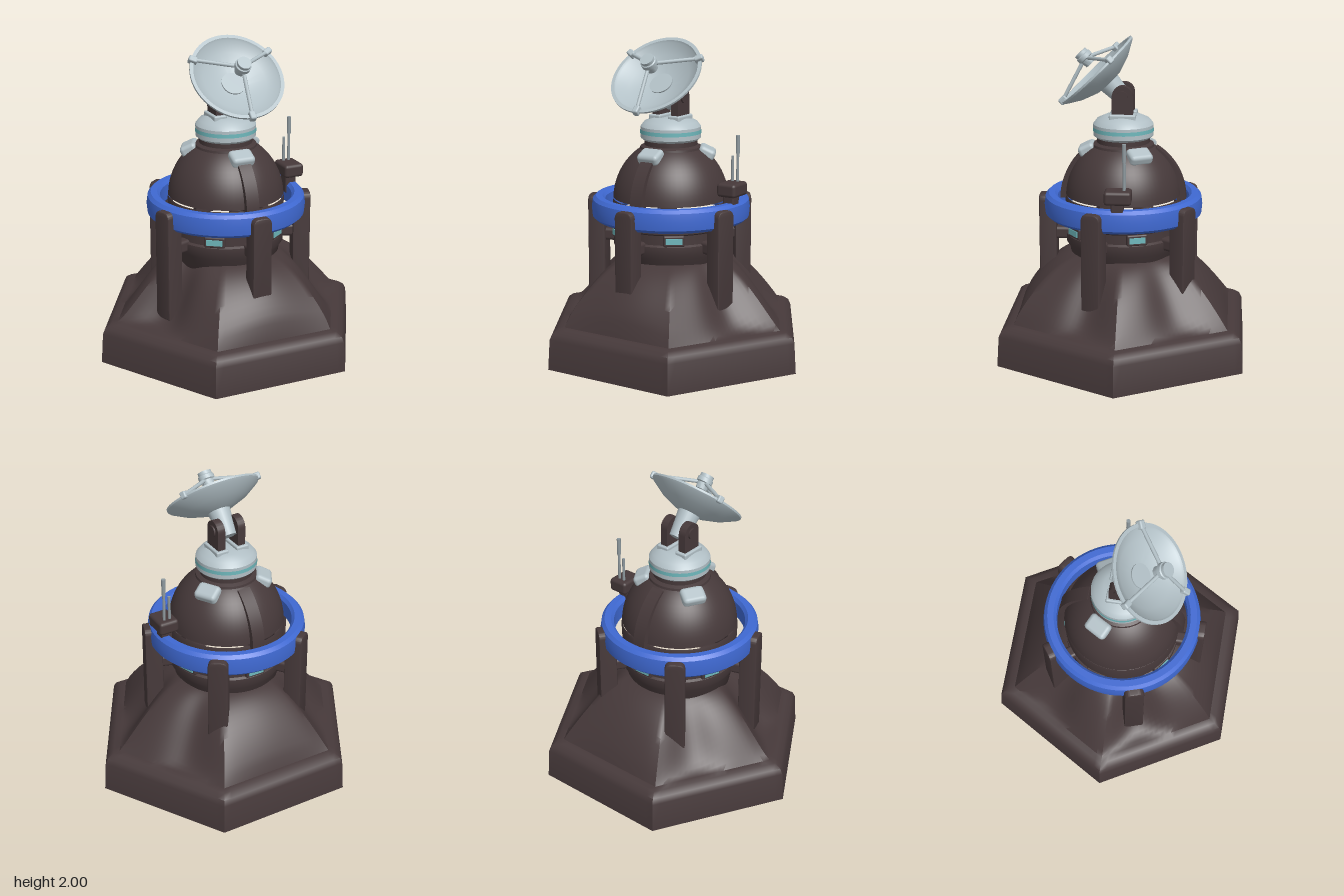
import * as THREE from 'three';
import { toCreasedNormals } from 'three/addons/utils/BufferGeometryUtils.js';
import { RoundedBoxGeometry } from 'three/addons/geometries/RoundedBoxGeometry.js';

const material = (name, color) => {
  const m = new THREE.MeshStandardMaterial({ color });
  m.name = name;
  return m;
};
const rad = THREE.MathUtils.degToRad;

export function createModel() {
  const dark = material('dark brown', 0x46393a);
  const blue = material('blue', 0x3f69d2);
  const grey = material('light grey', 0xb2c0c6);
  const teal = material('teal', 0x6fb8bc);
  const steel = material('steel grey', 0x8f9a9f);

  const model = new THREE.Group();
  model.name = 'observatory';
  const tower = new THREE.Group();
  tower.name = 'tower';
  tower.position.set(-0.025, 0, 0.01);
  model.add(tower);

  const add = (parent, name, geo, mat, x = 0, y = 0, z = 0) => {
    const mesh = new THREE.Mesh(geo, mat);
    mesh.name = name;
    mesh.position.set(x, y, z);
    parent.add(mesh);
    return mesh;
  };
  const lathe = (points, segments = 64) => toCreasedNormals(
    new THREE.LatheGeometry(points.map(p => new THREE.Vector2(...p)), segments), 0.6);
  const box = (w, h, d, r = 0.01) => new RoundedBoxGeometry(w, h, d, 2, r);
  // Group whose local +x points outwards at an angle measured from +x towards +z
  const spoke = (name, degrees) => {
    const g = new THREE.Group();
    g.name = name;
    g.rotation.y = -rad(degrees);
    tower.add(g);
    return g;
  };
  const rod = (parent, name, a, b, r, mat) => {
    const from = new THREE.Vector3(...a), dir = new THREE.Vector3(...b).sub(from);
    const mesh = add(parent, name, new THREE.CylinderGeometry(r, r, dir.length(), 10), mat);
    mesh.position.copy(from).addScaledVector(dir, 0.5);
    mesh.quaternion.setFromUnitVectors(new THREE.Vector3(0, 1, 0), dir.normalize());
  };

  add(model, 'rockBase', rockGeometry(), dark);

  // Tower body and dome
  add(tower, 'body', lathe([[0.29, 0.4], [0.29, 0.55], [0.32, 0.58], [0.34, 0.68], [0.36, 0.71],
    [0.36, 0.76], [0.345, 0.77], [0.345, 0.83], [0.36, 0.84], [0.365, 0.98], [0.36, 1.0]]), dark);
  const dome = [];
  for (let i = 0; i <= 12; i++) {
    const a = rad(3 + i * 5);
    dome.push([0.362 * Math.cos(a), 0.99 + 0.385 * Math.sin(a)]);
  }
  add(tower, 'dome', lathe([...dome, [0, 1.33]]), dark);

  // Curved ribs on the front and back of the dome
  const arc = new THREE.Shape();
  arc.absarc(0, 0.98, 0.395, 0, rad(58), false);
  arc.absarc(0, 0.98, 0.34, rad(58), 0, true);
  for (const angle of [90, 270]) {
    const geo = new THREE.ExtrudeGeometry(arc, { depth: 0.084, bevelEnabled: false, curveSegments: 16 });
    geo.translate(0, 0, -0.042);
    add(spoke('domeRib', angle), 'rib', toCreasedNormals(geo, 0.5), dark);
  }

  // Blue ring carried by five pillars
  add(tower, 'ring', lathe([[0.43, 0.88], [0.47, 0.875], [0.492, 0.895], [0.497, 0.95], [0.49, 1.0],
    [0.47, 1.02], [0.43, 1.02], [0.412, 1.0], [0.412, 0.9], [0.43, 0.88]], 72), blue);
  const post = new THREE.Shape();
  post.moveTo(-0.062, 0.3);
  post.lineTo(0.062, 0.3);
  post.lineTo(0.062, 0.96);
  post.quadraticCurveTo(0.058, 1.0, 0.02, 1.0);
  post.lineTo(-0.02, 1.0);
  post.quadraticCurveTo(-0.058, 1.0, -0.062, 0.96);
  for (let i = 0; i < 5; i++) {
    const support = spoke('ringSupport', 90 + 72 * i);
    const geo = new THREE.ExtrudeGeometry(post, {
      depth: 0.09, bevelSize: 0.008, bevelOffset: -0.008, bevelThickness: 0.01, bevelSegments: 2,
    });
    geo.rotateY(Math.PI / 2);
    add(support, 'pillar', toCreasedNormals(geo, 0.5), dark, 0.43);
    add(support, 'strut', box(0.14, 0.08, 0.08, 0.02), dark, 0.39, 0.745);

    // Glowing windows between the pillars
    const bay = spoke('windowBay', 126 + 72 * i);
    add(bay, 'windowFrame', box(0.05, 0.07, 0.13), dark, 0.34, 0.8);
    add(bay, 'window', new THREE.BoxGeometry(0.008, 0.036, 0.1), teal, 0.367, 0.8);
  }

  // Neck, pods and rotating collar
  add(tower, 'neck', lathe([[0.2, 1.28], [0.19, 1.33], [0.165, 1.34], [0.165, 1.39]]), dark);
  for (const angle of [90, 210, 330]) {
    const pod = add(spoke('domePod', angle), 'pod', box(0.11, 0.07, 0.15, 0.025), grey, 0.225, 1.292);
    pod.rotation.z = -0.45;
  }
  add(tower, 'collar', lathe([[0, 1.37], [0.17, 1.37], [0.188, 1.385], [0.188, 1.455], [0.165, 1.485],
    [0.11, 1.51], [0, 1.51]]), grey);
  add(tower, 'collarStripe', new THREE.CylinderGeometry(0.191, 0.191, 0.024, 64, 1, true), teal, 0, 1.425);

  // Fork holding the dish
  const cheek = new THREE.Shape();
  cheek.moveTo(-0.065, 1.5);
  cheek.lineTo(0.065, 1.5);
  cheek.lineTo(0.065, 1.64);
  cheek.absarc(0, 1.64, 0.065, 0, Math.PI, false);
  for (const side of [-1, 1]) {
    const geo = new THREE.ExtrudeGeometry(cheek, { depth: 0.05, bevelEnabled: false });
    geo.rotateY(Math.PI / 2);
    add(tower, 'forkArm', toCreasedNormals(geo, 0.5), dark, side * 0.07 - 0.025);
    add(tower, 'forkFoot', box(0.085, 0.045, 0.165), grey, side * 0.07, 1.507);
    const bolt = add(tower, 'pivotBolt', new THREE.CylinderGeometry(0.035, 0.035, 0.012, 16), dark, side * 0.099, 1.64);
    bolt.rotation.z = Math.PI / 2;
  }

  // Tilted dish: local +y looks out of the bowl, local +z is its lower edge
  const dish = new THREE.Group();
  dish.name = 'dish';
  dish.position.set(0, 1.785, 0.16);
  dish.rotation.x = 0.765;
  tower.add(dish);
  add(dish, 'bowl', lathe([[0, -0.11], [0.1, -0.1], [0.2, -0.063], [0.285, -0.012], [0.297, 0], [0.297, 0.012],
    [0.275, 0.012], [0.265, 0], [0.2, -0.04], [0.1, -0.077], [0, -0.087]]), grey);
  add(dish, 'mount', new THREE.CylinderGeometry(0.075, 0.05, 0.2, 24), grey, 0, -0.17, 0);
  add(dish, 'feedHorn', lathe([[0, 0.06], [0.035, 0.06], [0.04, 0.1], [0.05, 0.105], [0.05, 0.13],
    [0.043, 0.135], [0.043, 0.155], [0, 0.155]], 24), grey);
  for (const a of [90, 210, 330].map(rad)) {
    const x = Math.cos(a), z = Math.sin(a);
    rod(dish, 'feedStrut', [x * 0.285, 0.015, z * 0.285], [x * 0.03, 0.1, z * 0.03], 0.012, grey);
    const clamp = add(dish, 'strutClamp', box(0.055, 0.045, 0.04), grey, x * 0.285, 0.012, z * 0.285);
    clamp.rotation.y = -a;
  }

  // Antenna box on the side of the ring
  add(model, 'antennaStem', box(0.075, 0.16, 0.075), dark, 0.415, 1.03, 0.012);
  add(model, 'antennaBox', box(0.13, 0.085, 0.165, 0.02), dark, 0.42, 1.103, 0.008);
  rod(model, 'shortAerial', [0.4, 1.13, -0.03], [0.4, 1.3, -0.03], 0.009, steel);
  rod(model, 'tallAerial', [0.436, 1.13, -0.03], [0.436, 1.4, -0.03], 0.009, steel);
  rod(model, 'aerialTip', [0.436, 1.32, -0.03], [0.436, 1.43, -0.03], 0.013, steel);

  return model;
}

// Hexagonal plinth rising into a hill with broad spurs and gullies
function rockGeometry() {
  const N = 120, slope = 16, positions = [], index = [];
  const bump = (deg, centre, width) => {
    const d = ((deg - centre + 540) % 360) - 180;
    return Math.exp(-(d * d) / (width * width));
  };
  const rings = [[0, 0], [1, 0], [1, 0], [0.985, 0.19], [0.965, 0.225], [0.92, 0.25], [0.87, 0.255]];
  for (let i = 1; i <= slope; i++) rings.push(i / slope);
  for (const ring of rings) {
    for (let j = 0; j < N; j++) {
      const deg = j * 360 / N, a = rad(deg);
      const hex = 0.76 / Math.cos(rad((deg % 60) - 30));
      let r, y;
      if (Array.isArray(ring)) {
        r = hex * ring[0];
        y = ring[1];
      } else {
        const power = 1 - 0.4 * bump(deg, 90, 35) - 0.2 * bump(deg, 270, 35)
          + 0.9 * bump(deg, 20, 13) + 1.7 * bump(deg, 160, 14)
          + 0.7 * bump(deg, 322, 14) + 0.7 * bump(deg, 220, 14);
        r = THREE.MathUtils.lerp(hex * 0.87, 0.25, ring);
        y = 0.255 + 0.4 * Math.pow(Math.sin(ring * Math.PI / 2), power);
      }
      positions.push(r * Math.cos(a), y, r * Math.sin(a));
    }
  }
  for (let i = 0; i < rings.length - 1; i++) {
    for (let j = 0; j < N; j++) {
      const a = i * N + j, b = i * N + (j + 1) % N;
      index.push(a, a + N, b, b, a + N, b + N);
    }
  }
  const geo = new THREE.BufferGeometry();
  geo.setAttribute('position', new THREE.Float32BufferAttribute(positions, 3));
  geo.setIndex(index);
  return toCreasedNormals(geo, 0.7);
}
